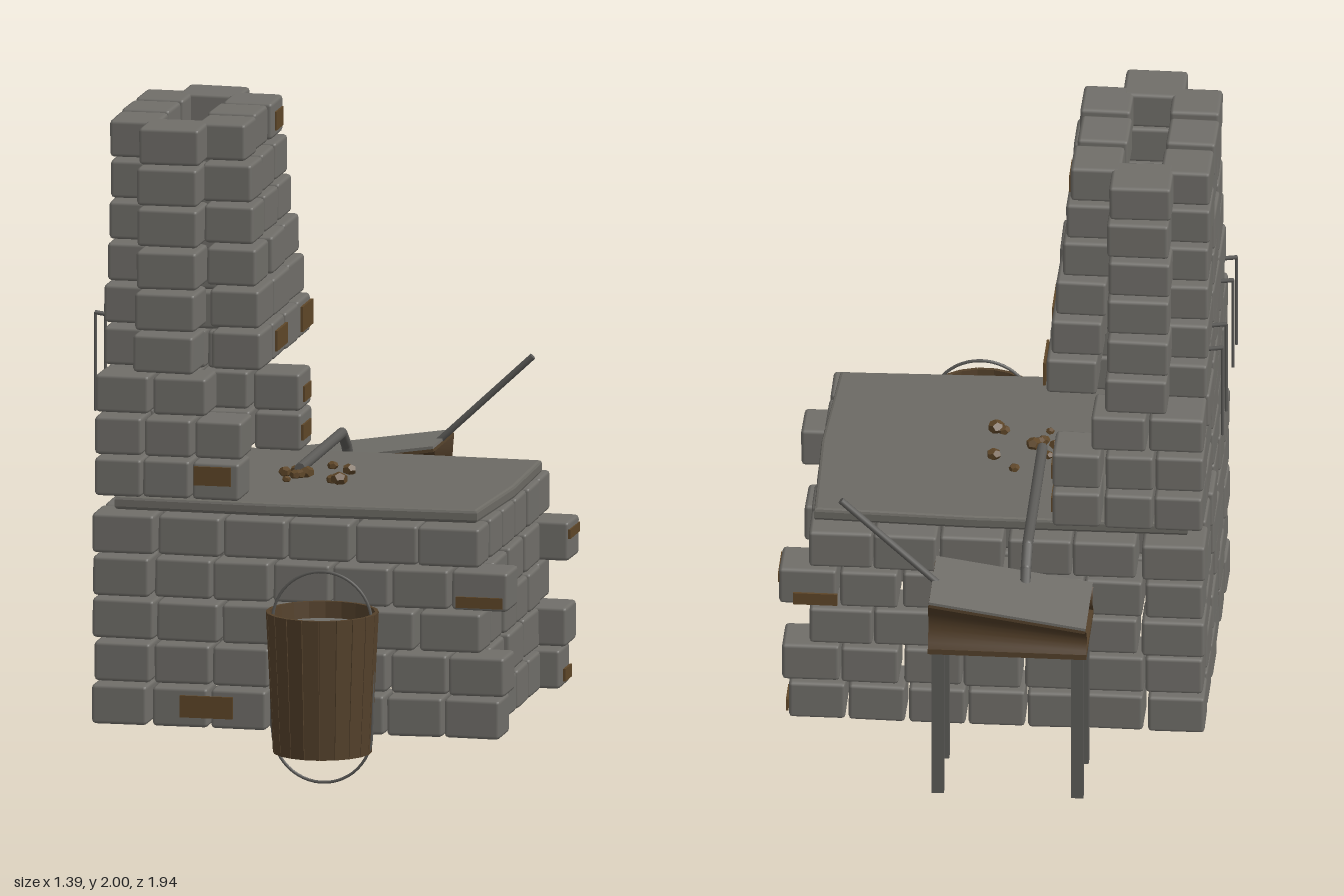
import * as THREE from 'three';
import { RoundedBoxGeometry } from 'three/addons/geometries/RoundedBoxGeometry.js';

const mat = (name, color, double) => {
  const m = new THREE.MeshStandardMaterial({ color });
  m.name = name;
  if (double) m.side = THREE.DoubleSide;
  return m;
};

export function createModel() {
  const stone = mat('stone grey', 0x706e69);
  const slabGrey = mat('slab grey', 0x6c6a64);
  const iron = mat('iron grey', 0x5c5b58);
  const wood = mat('dark wood', 0x54412b);
  const leather = mat('brown leather', 0x4e3b26, true);
  const rust = mat('rust brown', 0x5e4628);

  const model = new THREE.Group();
  model.name = 'forge';
  const group = (name, parent = model) => {
    const g = new THREE.Group();
    g.name = name;
    parent.add(g);
    return g;
  };
  const add = (parent, name, geo, material, x = 0, y = 0, z = 0) => {
    const m = new THREE.Mesh(geo, material);
    m.name = name;
    m.position.set(x, y, z);
    parent.add(m);
    return m;
  };
  let seed = 7;
  const rnd = () => (seed = (seed * 16807) % 2147483647) / 2147483647 - 0.5;

  // One slightly uneven stone block between two corners
  const block = (parent, x0, x1, y0, y1, z0, z1) => {
    const geo = new RoundedBoxGeometry(x1 - x0, y1 - y0, z1 - z0, 1, 0.012);
    const m = add(parent, 'stoneBlock', geo, stone,
      (x0 + x1) / 2 + rnd() * 0.01, (y0 + y1) / 2, (z0 + z1) / 2 + rnd() * 0.01);
    m.rotation.set(rnd() * 0.02, rnd() * 0.03, rnd() * 0.02);
  };
  // A row of n blocks along x or z
  const rowX = (p, x0, x1, n, gap, y0, y1, z0, z1) => {
    const s = (x1 - x0 + gap) / n;
    for (let i = 0; i < n; i++) block(p, x0 + i * s, x0 + (i + 1) * s - gap, y0, y1, z0, z1);
  };
  const rowZ = (p, z0, z1, n, gap, y0, y1, x0, x1) => {
    const s = (z1 - z0 + gap) / n;
    for (let i = 0; i < n; i++) block(p, x0, x1, y0, y1, z0 + i * s, z0 + (i + 1) * s - gap);
  };

  // Hollow base: five courses with alternating bond
  const base = group('base');
  [0.665, 0.685, 0.6, 0.69, 0.605].forEach((right, i) => {
    const y0 = 0.112 + i * 0.137, y1 = y0 + 0.126;
    const n = right > 0.62 ? 7 : 6;
    for (const s of [1, -1]) {
      const a = s > 0 ? 0.365 : -0.515;
      rowX(base, -0.645, right, n, 0.01, y0, y1, a, a + 0.15);
    }
    const odd = i % 2;
    const n2 = odd ? 3 : 4, gap = odd ? 0.04 : 0.02;
    rowZ(base, -0.345, 0.345, n2, gap, y0, y1, -0.645, -0.49);
    rowZ(base, -0.345, 0.345, n2, gap, y0, y1, 0.445, 0.605);
  });

  // Table slab
  const outline = [[-0.58, -0.44], [0.1, -0.445], [0.58, -0.43], [0.59, 0], [0.565, 0.43], [-0.1, 0.45], [-0.58, 0.44]]
    .map(([x, z]) => new THREE.Vector2(x, -z));
  const slabGeo = new THREE.ExtrudeGeometry(new THREE.Shape(outline.reverse()),
    { depth: 0.022, bevelEnabled: true, bevelThickness: 0.01, bevelSize: 0.01, bevelSegments: 2 });
  slabGeo.rotateX(-Math.PI / 2);
  add(model, 'tableSlab', slabGeo, slabGrey, 0, 0.798, 0);

  // Hearth and chimney: [depth from centre, right edge] of each course
  const chimney = group('chimney');
  [[0.515, -0.17], [0.5, -0.17], [0.48, -0.29], [0.467, -0.135], [0.447, -0.15], [0.425, -0.16],
    [0.402, -0.18], [0.388, -0.19], [0.38, -0.21]].forEach(([d, right], i) => {
    const y0 = 0.842 + i * 0.13, y1 = Math.min(y0 + 0.121, 2);
    if (i < 3) {
      // Side walls of the open hearth
      for (const s of [1, -1]) {
        const a = s > 0 ? d - 0.16 : -d;
        rowX(chimney, -0.645, right, i === 2 ? 2 : 3, 0.01, y0, y1, a, a + 0.16);
      }
      rowZ(chimney, -d + 0.17, d - 0.17, 3, 0.04, y0, y1, -0.645, -0.49);
    } else {
      const w = d - 0.11;
      for (const s of [1, -1]) {
        const a = s > 0 ? d - 0.17 : -d;
        block(chimney, -0.53, -0.335, y0, y1, a, a + 0.17);
      }
      const n = i === 3 ? 4 : 3, gap = i < 5 ? 0.015 : 0.03;
      rowZ(chimney, -w, w, n, gap, y0, y1, -0.647, -0.49);
      rowZ(chimney, -w, w, n, gap, y0, y1, right - 0.16, right);
    }
  });

  // Rust stains: thin plates on front (z) and right (x) faces
  const stains = group('stains');
  const stain = (w, h, d, x, y, z) => add(stains, 'stain', new THREE.BoxGeometry(w, h, d), rust, x, y, z);
  stain(0.17, 0.07, 0.008, -0.28, 0.18, 0.52);
  stain(0.15, 0.035, 0.008, 0.6, 0.55, 0.52);
  stain(0.12, 0.06, 0.008, -0.26, 0.92, 0.52);
  stain(0.14, 0.04, 0.008, 0.58, 0.55, -0.52);
  [[-0.13, 1.295, 0.1, 0.16, 0.065], [-0.13, 1.295, -0.27, 0.15, 0.08], [-0.165, 0.9, -0.42, 0.12, 0.05],
    [-0.165, 1.02, -0.43, 0.1, 0.05], [0.67, 0.15, -0.45, 0.1, 0.04], [0.695, 0.61, -0.43, 0.14, 0.03],
    [-0.205, 1.935, -0.2, 0.1, 0.06]].forEach(([x, y, z, w, h]) => stain(0.008, h, w, x, y, z));

  // Rods through a list of points
  const rod = (parent, name, pts, r, material = iron) => {
    const path = new THREE.CurvePath();
    const v = pts.map((p) => new THREE.Vector3(...p));
    for (let i = 1; i < v.length; i++) path.add(new THREE.LineCurve3(v[i - 1], v[i]));
    for (const c of path.curves) {
      const m = add(parent, name, new THREE.CylinderGeometry(r, r, c.getLength(), 10), material);
      m.position.copy(c.v1).add(c.v2).multiplyScalar(0.5);
      m.quaternion.setFromUnitVectors(new THREE.Vector3(0, 1, 0), c.v2.clone().sub(c.v1).normalize());
    }
  };

  // Wall hooks with hanging rods
  const hooks = group('wallHooks');
  for (const z of [-0.29, -0.14, 0.14, 0.285]) {
    rod(hooks, 'hook', [[-0.58, 1.37, z], [-0.69, 1.385, z]], 0.007);
    rod(hooks, 'hangingRod', [[-0.688, 1.385, z], [-0.688, 1.07, z]], 0.005);
  }

  // Coals on the slab
  const coals = group('coals');
  [[-0.02, -0.15, 0.018], [0.05, -0.075, 0.024], [0.055, 0.095, 0.028], [0.03, 0.085, 0.02], [-0.07, 0, 0.025],
    [-0.09, 0.02, 0.02], [-0.115, 0.095, 0.014], [-0.14, 0, 0.022], [-0.12, -0.06, 0.017], [-0.1, 0.03, 0.02]]
    .forEach(([x, z, r]) => {
      const m = add(coals, 'coal', new THREE.DodecahedronGeometry(r), rust, x, 0.83 + r * 0.6, z);
      m.scale.y = 0.8;
      m.rotation.y = rnd() * 6;
    });

  // Bellows on its stand
  const bellows = group('bellows');
  add(bellows, 'standPlate', new THREE.BoxGeometry(0.5, 0.018, 0.3), wood, -0.06, 0.632, -0.82);
  for (const x of [-0.28, 0.16]) for (const z of [-0.71, -0.93])
    add(bellows, 'standLeg', new THREE.BoxGeometry(0.038, 0.515, 0.038), iron, x, 0.367, z);
  const lid = group('lid', bellows);
  lid.position.set(-0.06, 0.765, -0.825);
  lid.rotation.z = 0.15;
  add(lid, 'lidTop', new THREE.BoxGeometry(0.5, 0.009, 0.298), stone, 0, 0.006, 0);
  add(lid, 'lidUnderside', new THREE.BoxGeometry(0.5, 0.01, 0.298), wood, 0, -0.0035, 0);
  // Leather sides bowed inward between stand and lid
  for (const s of [1, -1]) {
    const geo = new THREE.PlaneGeometry(0.5, 1, 1, 8);
    const p = geo.attributes.position;
    for (let i = 0; i < p.count; i++) {
      const x = p.getX(i), t = p.getY(i) + 0.5;
      p.setXYZ(i, x, 0.64 + t * (0.12 + x * 0.15), s * (0.145 - 0.025 * Math.sin(t * Math.PI)));
    }
    geo.computeVertexNormals();
    add(bellows, 'leatherSide', geo, leather, -0.06, 0, -0.825);
  }
  rod(bellows, 'lever', [[0.17, 0.8, -0.825], [0.475, 1.085, -0.825]], 0.011);
  rod(bellows, 'airPipe', [[-0.1, 0.85, -0.03], [-0.1, 0.85, -0.645], [-0.1, 0.8, -0.71], [-0.1, 0.74, -0.755],
    [-0.1, 0.68, -0.825]], 0.017);
  for (const [y, z] of [[0.85, -0.645], [0.8, -0.71], [0.74, -0.755]])
    add(bellows, 'pipeElbow', new THREE.SphereGeometry(0.017, 12, 8), iron, -0.1, y, z);

  // Bucket of tapered staves
  const bucket = group('bucket');
  bucket.position.set(0.155, 0, 0.795);
  const count = 20;
  for (let i = 0; i < count; i++) {
    const geo = new THREE.BoxGeometry(0.05, 0.45, 0.012);
    const p = geo.attributes.position;
    for (let k = 0; k < p.count; k++) {
      const f = p.getY(k) / 0.225;
      p.setX(k, p.getX(k) * (1 + 0.06 * f));
      p.setZ(k, p.getZ(k) + 0.159 + 0.011 * f);
    }
    geo.computeVertexNormals();
    add(bucket, 'stave', geo, wood, 0, 0.332, 0).rotation.y = (i / count) * Math.PI * 2;
  }
  add(bucket, 'bucketBottom', new THREE.CylinderGeometry(0.147, 0.146, 0.015, 30), wood, 0, 0.15, 0);
  add(bucket, 'water', new THREE.CylinderGeometry(0.158, 0.156, 0.01, 30), stone, 0, 0.5, 0);

  // Loop handle: two half circles joined by straight runs
  const loop = [];
  for (let i = 0; i < 32; i++) {
    const a = (i / 31) * Math.PI * 2;
    const y = (Math.sin(a) >= 0 ? 0.52 : 0.172) + 0.163 * Math.sin(a);
    loop.push(new THREE.Vector3(0.16 * Math.cos(a), y, 0));
  }
  const curve = new THREE.CatmullRomCurve3(loop.slice(0, -1), true);
  add(bucket, 'handleLoop', new THREE.TubeGeometry(curve, 90, 0.005, 6, true), iron);

  return model;
}
